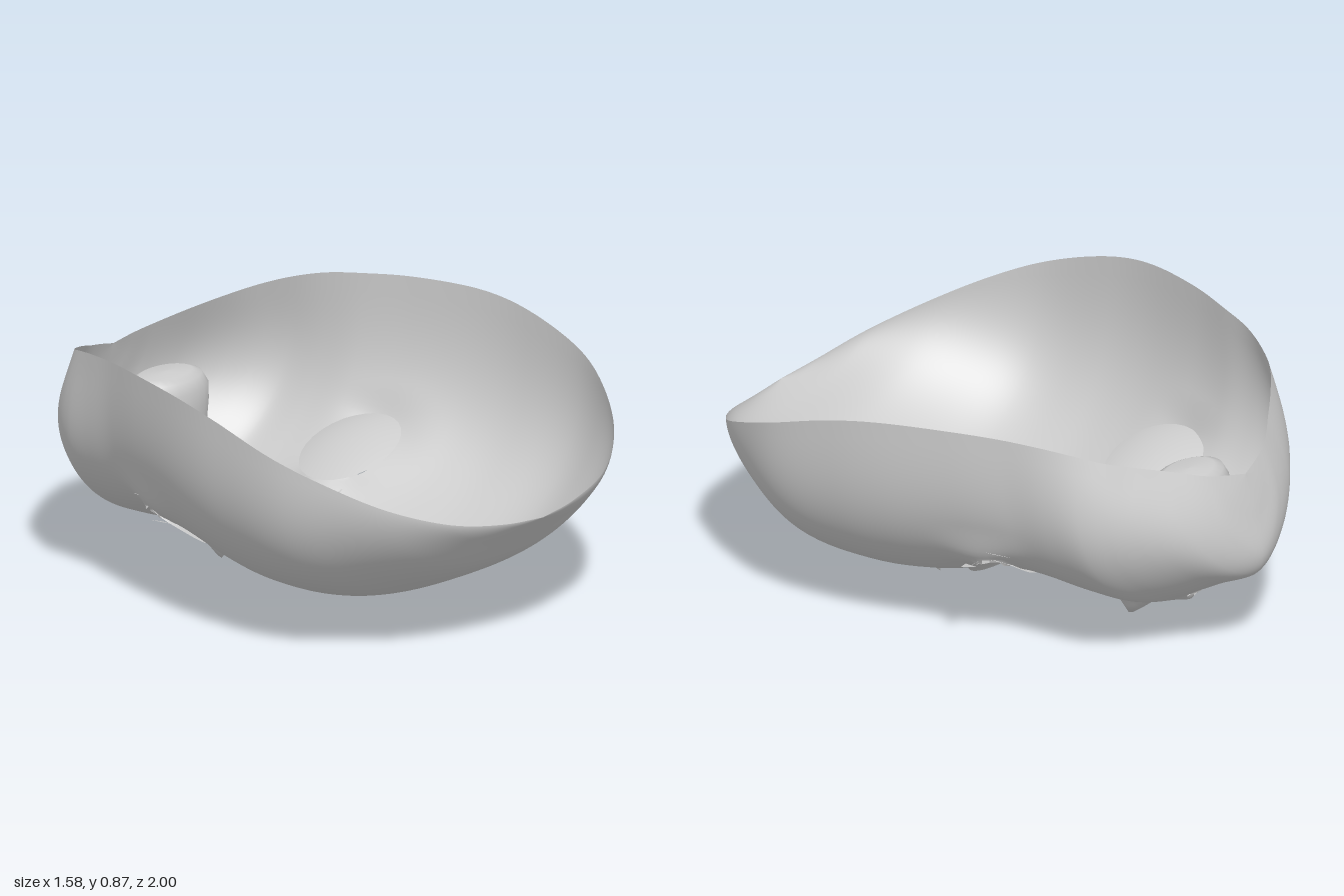
import * as THREE from 'three';
import { ParametricGeometry } from 'three/addons/geometries/ParametricGeometry.js';

const V = (x, y, z) => new THREE.Vector3(x, y, z);
const { smoothstep, lerp } = THREE.MathUtils;

// Stations from forehead to chin: centre z, centre y, rim half-width, rim y, rim z
const STATIONS = [
  [1, 0.455, 0, 0.455, 1], [0.98, 0.435, 0.17, 0.467, 0.98], [0.93, 0.385, 0.38, 0.505, 0.93],
  [0.81, 0.265, 0.57, 0.575, 0.81], [0.65, 0.175, 0.70, 0.66, 0.65], [0.48, 0.11, 0.775, 0.735, 0.48],
  [0.23, 0.088, 0.79, 0.82, 0.23], [0.05, 0.11, 0.77, 0.855, 0.05], [-0.2, 0.167, 0.70, 0.865, -0.2],
  [-0.4, 0.172, 0.635, 0.857, -0.37], [-0.55, 0.155, 0.585, 0.843, -0.5], [-0.68, 0.15, 0.53, 0.82, -0.6],
  [-0.76, 0.183, 0.47, 0.793, -0.68], [-0.87, 0.24, 0.38, 0.762, -0.75], [-0.97, 0.29, 0.27, 0.725, -0.82],
  [-1, 0.36, 0.16, 0.685, -0.885], [-0.97, 0.5, 0.08, 0.665, -0.91], [-0.925, 0.645, 0, 0.645, -0.925],
];
const centreLine = new THREE.CatmullRomCurve3(STATIONS.map(([z, y]) => V(0, y, z)));
const rimLine = new THREE.CatmullRomCurve3(STATIONS.map(([, , w, y, z]) => V(w, y, z)));

// Cross-section exponents: full in the middle, sloping at the forehead edge, pointed at the chin
function roundness(z) {
  const chin = smoothstep(-z, 0.65, 1);
  return [2.2 - 0.5 * chin, 3 - 0.3 * chin - 1.5 * smoothstep(z, 0.35, 1)];
}

// Height of the nose and upper lip below the face, along z
const NOSE = [[-0.28, 0], [-0.36, 0.045], [-0.4, 0.115], [-0.435, 0.175], [-0.46, 0.165],
  [-0.5, 0.13], [-0.57, 0.065], [-0.64, 0.045], [-0.7, 0.037], [-0.73, 0.01], [-0.78, 0]];
function noseHeight(x, z) {
  for (let i = 1; i < NOSE.length; i++) {
    const [z0, h0] = NOSE[i - 1], [z1, h1] = NOSE[i];
    if (z <= z0 && z >= z1) {
      const h = h0 + (h1 - h0) * (z0 - z) / (z0 - z1);
      return h * Math.exp(-Math.pow(Math.abs(x) / 0.08, 1.3));
    }
  }
  return 0;
}

// Eye sockets: hollow beside the nose, slightly full at the outer corner
const bump = (x, z, cx, r) => Math.exp(-(((Math.abs(x) - cx) / r) ** 2) - ((z + 0.24) / 0.12) ** 2);
const socket = (x, z) => 0.055 * bump(x, z, 0.31, 0.11) - 0.035 * bump(x, z, 0.59, 0.07);

function facePoint(u, v, target) {
  const c = centreLine.getPoint(v), r = rimLine.getPoint(v);
  const [p, q] = roundness(c.z);
  const a = (u - 0.5) * Math.PI;
  const f = 1 - Math.pow(Math.max(0, Math.cos(a)), 2 / q);
  const bulge = 1 + 0.17 * smoothstep(-c.z, 0.4, 0.95) * Math.sin(Math.PI * f);
  const x = Math.sign(a) * Math.max(0, r.x) * Math.pow(Math.abs(Math.sin(a)), 2 / p) * bulge;
  const z = lerp(c.z, r.z, f);
  const y = lerp(c.y, r.y, f);
  target.set(x, y + (y < 0.5 ? socket(x, z) * (1 - smoothstep(y, 0.4, 0.5)) : 0)
    - (y < 0.4 ? noseHeight(x, z) : 0), z);
}

// Height of the face at (x, z), for seating the lashes and brows
function faceY(x, z) {
  let lo = 0, hi = 0.65;
  for (let i = 0; i < 24; i++) {
    const m = (lo + hi) / 2;
    if (centreLine.getPoint(m).z > z) lo = m; else hi = m;
  }
  const c = centreLine.getPoint(lo), r = rimLine.getPoint(lo);
  const [p, q] = roundness(z);
  const k = Math.min(1, Math.abs(x) / r.x);
  return r.y - (r.y - c.y) * Math.pow(1 - Math.pow(k, p), 1 / q) + socket(x, z);
}

// Openings: centre x, centre z, radius x, radius z
const EYE = [0.425, -0.25, 0.145, 0.085];
const HOLES = [EYE, [-EYE[0], EYE[1], EYE[2], EYE[3]], [0, -0.725, 0.055, 0.014]];

function faceGeometry() {
  const geo = new ParametricGeometry(facePoint, 112, 136);
  const pos = geo.attributes.position, inside = [];
  for (let i = 0; i < pos.count; i++) {
    for (const [cx, cz, rx, rz] of HOLES) {
      const dx = (pos.getX(i) - cx) / rx, dz = (pos.getZ(i) - cz) / rz;
      const d = Math.hypot(dx, dz);
      if (d < 1 && d > 0 && pos.getY(i) < 0.6) {
        inside[i] = true; // slide onto the edge of the opening
        pos.setX(i, cx + rx * dx / d);
        pos.setZ(i, cz + rz * dz / d);
      }
    }
  }
  const kept = [], idx = geo.index.array;
  for (let i = 0; i < idx.length; i += 3) {
    const t = [idx[i], idx[i + 1], idx[i + 2]];
    if (!t.every((n) => inside[n])) kept.push(...t);
  }
  geo.setIndex(kept);
  geo.computeVertexNormals();
  return geo;
}

export function createModel() {
  const group = new THREE.Group();
  const material = new THREE.MeshStandardMaterial({ color: 0xcccccc, side: THREE.DoubleSide });
  const add = (name, geometry) => {
    const mesh = new THREE.Mesh(geometry, material);
    mesh.name = name;
    group.add(mesh);
    return mesh;
  };
  const patch = (name, fn, nu, nv) => add(name, new ParametricGeometry(fn, nu, nv));

  add('faceShell', faceGeometry());

  for (const s of [1, -1]) {
    const side = s > 0 ? 'left' : 'right';

    // Gently tilted, domed eye behind the opening, with a shallow iris in front of it
    const disc = (cx, cz, rx, rz, lift, dome) => (u, v, target) => {
      const a = u * Math.PI * 2;
      const x = cx + rx * v * Math.cos(a), z = cz + rz * v * Math.sin(a);
      target.set(s * x, lift + 0.38 * (x - 0.41) + dome * (1 - v * v), z);
    };
    patch(side + 'Eye', disc(0.415, -0.235, 0.18, 0.165, 0.328, 0.03), 28, 8);
    patch(side + 'Iris', disc(0.42, -0.24, 0.075, 0.07, 0.33, 0.01), 24, 4);

    // Crescent lids tapering to both corners
    const crescent = (from, to, width, drop) => (u, v, target) => {
      const a = from + (to - from) * u;
      const k = 1 + width * v * Math.sin(Math.PI * u);
      const x = EYE[0] + EYE[2] * Math.cos(a), z = EYE[1] + EYE[3] * k * Math.sin(a);
      target.set(s * x, faceY(x, z) - drop * Math.sin(Math.PI * u) * v, z);
    };
    patch(side + 'UpperLash', crescent(0, Math.PI, 0.55, 0.02), 24, 3);
    patch(side + 'LowerLid', crescent(-0.3, -2.8, 0.12, 0.008), 20, 2);

    // Pointed lash tips at the outer and inner corners
    const tips = [[0.55, -0.19, 0.63, -0.205], [0.29, -0.18, 0.225, -0.135]];
    for (const [x0, z0, x1, z1] of tips) {
      patch(side + 'LashTip', (u, v, target) => {
        const x = x0 + (x1 - x0) * u, z = z0 + (z1 - z0) * u + (v - 0.5) * 0.045 * (1 - u);
        target.set(s * x, faceY(x0, z0) + 0.35 * (x - x0) - 0.012, z);
      }, 6, 2);
    }

    // Brow: a slim arc resting on the forehead
    patch(side + 'Brow', (u, v, target) => {
      const x = 0.17 + 0.2 * u;
      const z = 0.12 + 0.05 * Math.sin(Math.PI * u) - 0.05 * u + (v - 0.5) * 0.07 * Math.sin(Math.PI * (0.12 + 0.88 * u));
      target.set(s * x, faceY(x, z) - 0.012 * Math.sin(Math.PI * v), z);
    }, 16, 4);
  }

  // Mouth pocket behind the lips
  const profile = [[0.1, 0.18], [0.13, 0.23], [0.155, 0.31], [0.17, 0.4], [0.178, 0.48], [0.176, 0.54],
    [0.15, 0.58], [0.11, 0.595], [0, 0.6]].map(([r, y]) => new THREE.Vector2(r, y));
  const pocket = add('mouthPocket', new THREE.LatheGeometry(profile, 24));
  pocket.scale.z = 0.62;
  pocket.position.z = -0.69;

  return group;
}
